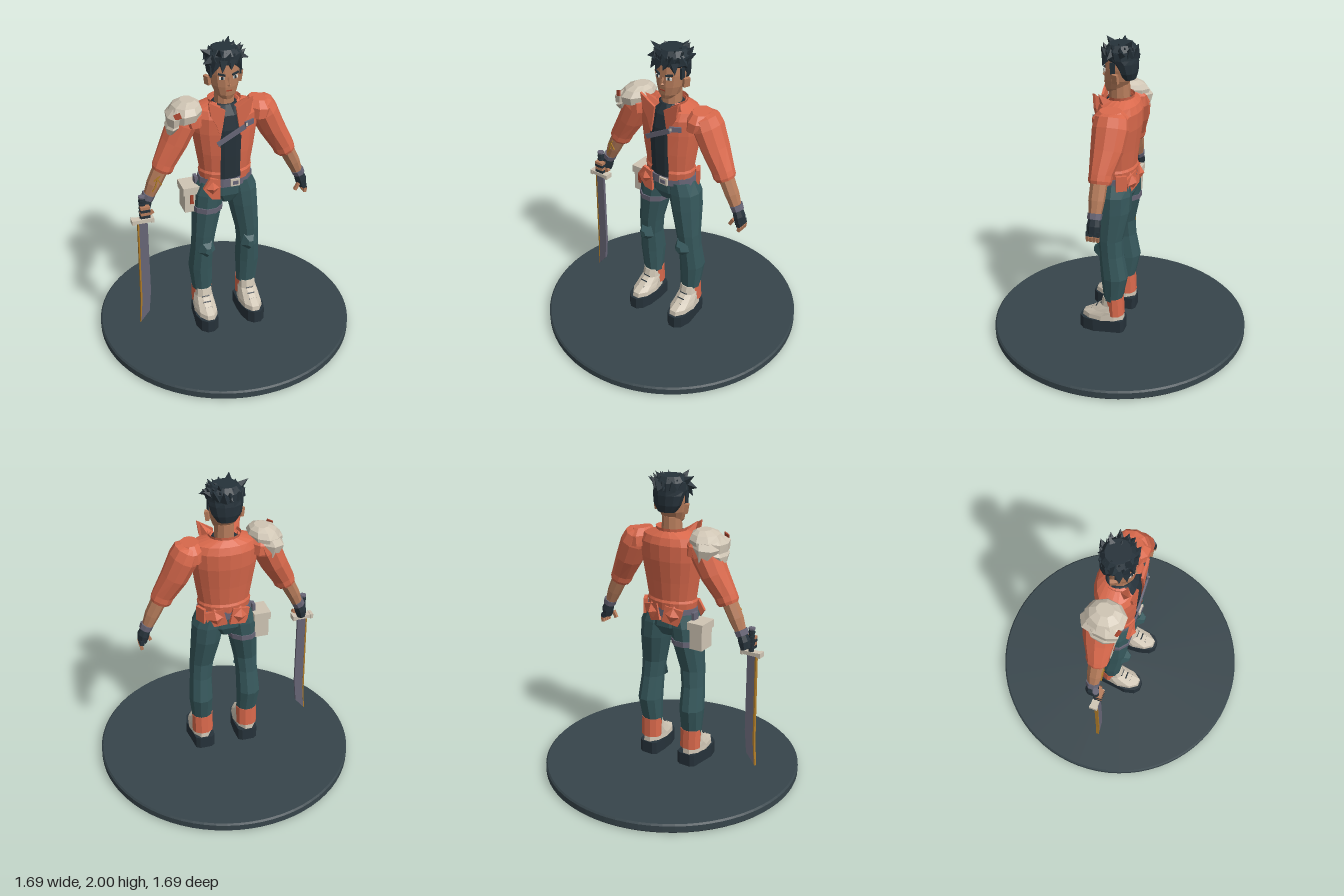
import * as THREE from 'three';

const mat = (name, color) => {
  const m = new THREE.MeshStandardMaterial({ color });
  m.name = name;
  return m;
};

export function createModel() {
  const root = new THREE.Group();
  root.name = 'swordsman';
  const orange = mat('orange cloth', 0xd9694c), teal = mat('teal trousers', 0x36585c);
  const dark = mat('dark', 0x26323a), slate = mat('slate base', 0x37454b);
  const skin = mat('skin', 0xb67c5b), bone = mat('bone', 0xcfc5b4);
  const steel = mat('steel', 0x686677), gold = mat('gold', 0xb07c28);
  const rust = mat('rust', 0xa8452f), white = mat('eye white', 0xece8e0);
  orange.side = THREE.DoubleSide; // open jacket and collar

  const add = (name, geo, m, x = 0, y = 0, z = 0, rx = 0, ry = 0, rz = 0) => {
    const g = geo.index ? geo.toNonIndexed() : geo;
    g.computeVertexNormals();
    const mesh = new THREE.Mesh(g, m);
    mesh.name = name;
    mesh.position.set(x, y, z);
    mesh.rotation.set(rx, ry, rz);
    root.add(mesh);
    return mesh;
  };
  const box = (name, m, w, h, d, ...place) => add(name, new THREE.BoxGeometry(w, h, d), m, ...place);
  const plate = (name, m, pts, depth, ...place) => add(name, new THREE.ExtrudeGeometry(
    new THREE.Shape(pts.map(p => new THREE.Vector2(...p))), { depth, bevelEnabled: false }), m, ...place);

  // Skin over rings [x, y, z, rx, rz, tilt, frontGap], listed bottom to top
  const loft = (name, m, rings, n = 10, s = 1) => {
    const pos = [], idx = [], open = rings[0][6] > 0;
    for (const [x, y, z, rx, rz, tilt = 0, gap = 0] of rings)
      for (let j = 0; j <= n; j++) {
        const a = Math.PI / 2 + (open ? gap : Math.PI / n) + j / n * (2 * Math.PI - 2 * gap);
        const u = rx * Math.cos(a);
        pos.push(s * x + u * Math.cos(tilt), y + u * Math.sin(s * tilt), z + rz * Math.sin(a));
      }
    const w = n + 1, last = (rings.length - 1) * w;
    for (let i = 0; i < rings.length - 1; i++)
      for (let j = 0; j < n; j++) {
        const a = i * w + j, c = a + w;
        idx.push(a, c, a + 1, a + 1, c, c + 1);
      }
    if (!open) for (let j = 1; j < n - 1; j++)
      idx.push(0, j, j + 1, last, last + j + 1, last + j);
    const g = new THREE.BufferGeometry();
    g.setAttribute('position', new THREE.Float32BufferAttribute(pos, 3));
    g.setIndex(idx);
    return add(name, g, m);
  };

  // Cone from one point to another
  const spike = (name, m, from, to, r, sides = 4) => {
    const a = new THREE.Vector3(...from), d = new THREE.Vector3(...to).sub(a), len = d.length();
    const g = new THREE.ConeGeometry(r, len, sides).translate(0, len / 2, 0);
    add(name, g, m, ...from).quaternion.setFromUnitVectors(new THREE.Vector3(0, 1, 0), d.normalize());
  };

  // Display disc
  add('base', new THREE.LatheGeometry([[0, 0], [0.835, 0], [0.845, 0.01], [0.845, 0.05], [0.835, 0.06], [0, 0.06]]
    .map(p => new THREE.Vector2(...p)), 72), slate);

  // Legs and boots
  for (const s of [1, -1]) {
    loft('leg', teal, [[0.155, 0.29, 0, 0.068, 0.062], [0.163, 0.46, -0.01, 0.08, 0.088], [0.157, 0.62, 0.012, 0.074, 0.08],
      [0.148, 0.73, 0.02, 0.08, 0.083], [0.122, 0.92, 0.005, 0.098, 0.11], [0.108, 1.03, 0.003, 0.105, 0.112],
      [0.09, 1.11, 0.005, 0.085, 0.105]], 10, s);
    const knee = add('kneePad', new THREE.CylinderGeometry(0.025, 0.068, 0.045, 5), teal, s * 0.145, 0.635, 0.105, Math.PI / 2);
    knee.scale.x = 0.9;
    plate('sole', dark, [[0.085, -0.06], [0.11, -0.078], [0.19, -0.078], [0.215, -0.06], [0.225, 0.03], [0.237, 0.12],
      [0.22, 0.19], [0.185, 0.222], [0.14, 0.222], [0.105, 0.19], [0.085, 0.12], [0.08, 0.03]].map(([x, z]) => [s * x, z]),
      0.085, 0, 0.145, 0, Math.PI / 2);
    loft('shoe', bone, [[0.157, 0.143, 0.068, 0.074, 0.145], [0.157, 0.175, 0.066, 0.072, 0.14], [0.157, 0.205, 0.04, 0.068, 0.108],
      [0.155, 0.245, 0.016, 0.062, 0.07], [0.155, 0.3, 0.015, 0.056, 0.055]], 10, s);
    loft('ankleWrap', orange, [[0.155, 0.18, -0.014, 0.071, 0.06], [0.155, 0.31, -0.008, 0.071, 0.06]], 10, s);
    for (let i = 0; i < 3; i++)
      box('lace', dark, 0.05, 0.008, 0.008, s * 0.156, 0.2 + i * 0.026, 0.142 - i * 0.032, -0.8);
  }
  loft('hips', teal, [[0, 0.96, 0, 0.07, 0.08], [0, 1.02, 0, 0.18, 0.108], [0, 1.12, 0.005, 0.17, 0.108]], 12);

  // Belt, buckle and tied cloth
  loft('belt', steel, [[0, 1.09, 0.007, 0.18, 0.12], [0, 1.145, 0.007, 0.176, 0.12]], 12);
  box('buckle', bone, 0.06, 0.048, 0.012, 0.03, 1.12, 0.128);
  box('buckleCentre', steel, 0.035, 0.024, 0.008, 0.03, 1.12, 0.134);
  plate('frontCloth', orange, [[-0.175, 1.1], [-0.13, 1.17], [-0.065, 1.15], [-0.065, 1.01], [-0.12, 1.02]], 0.02, 0, 0, 0.105);
  spike('frontKnot', orange, [-0.115, 1.1, 0.115], [-0.115, 1.1, 0.15], 0.06);
  for (const [x, z, turn] of [[-0.07, -0.1, 0.2], [0.08, -0.095, -0.25]]) {
    box('backCloth', orange, 0.12, 0.11, 0.02, x, 1.105, z, 0, turn, turn);
    spike('backKnot', orange, [x, 1.11, z], [x * 1.1, 1.11, z - 0.04], 0.065);
  }
  box('sideCloth', orange, 0.02, 0.1, 0.07, 0.165, 1.125, -0.055, 0, 0.5);

  // Shirt and open jacket
  loft('shirt', dark, [[0, 1.12, 0.01, 0.14, 0.108], [0, 1.3, 0.01, 0.16, 0.115], [0, 1.48, 0.005, 0.17, 0.122],
    [0, 1.57, 0, 0.14, 0.11], [0, 1.63, 0, 0.07, 0.075]], 14);
  loft('jacket', orange, [[0, 1.135, 0.01, 0.165, 0.12, 0, 0.4], [0, 1.185, 0.01, 0.172, 0.125, 0, 0.4], [0, 1.2, 0.01, 0.165, 0.117, 0, 0.4],
    [0, 1.32, 0.008, 0.185, 0.128, 0, 0.35], [0, 1.46, 0, 0.207, 0.139, 0, 0.33], [0, 1.56, -0.003, 0.212, 0.138, 0, 0.3],
    [0, 1.605, -0.005, 0.19, 0.118, 0, 0.4], [0, 1.64, -0.005, 0.085, 0.08, 0, 0.8]], 16);
  loft('collarBand', orange, [[0, 1.6, 0, 0.09, 0.085, 0, 0.9], [0, 1.655, -0.002, 0.105, 0.09, 0, 1.1]], 10);
  for (const s of [1, -1]) {
    plate('collarPoint', orange, [[0.035, 1.62], [0.14, 1.685], [0.125, 1.59], [0.09, 1.53], [0.065, 1.44], [0.05, 1.52]]
      .map(([x, y]) => [s * x, y]), 0.015, 0, 0, 0.115);
    spike('collarWing', orange, [s * 0.08, 1.6, 0.06], [s * 0.125, 1.68, 0.1], 0.045);
  }
  box('chestStrap', steel, 0.2, 0.03, 0.01, 0, 1.455, 0.142, 0, 0, 0.5);
  box('strapTab', steel, 0.075, 0.032, 0.012, 0.118, 1.515, 0.125, 0, 0.5);
  box('strapPin', bone, 0.012, 0.02, 0.008, 0.095, 1.515, 0.143);

  // Arms
  for (const s of [1, -1]) {
    loft('sleeve', orange, [[0.41, 1.225, 0.008, 0.062, 0.064, 0.4], [0.402, 1.242, 0.008, 0.07, 0.072, 0.4], [0.388, 1.275, 0.006, 0.071, 0.073, 0.4],
      [0.318, 1.4, -0.01, 0.083, 0.1, 0.42], [0.262, 1.52, -0.016, 0.09, 0.112, 0.45], [0.235, 1.58, -0.016, 0.08, 0.1, 0.4],
      [0.22, 1.605, -0.016, 0.05, 0.07, 0.2]], 10, s);
    loft('shoulderCap', orange, [[0.21, 1.515, -0.005, 0.07, 0.115, 0], [0.222, 1.575, -0.005, 0.086, 0.112, -0.1],
      [0.22, 1.618, -0.005, 0.055, 0.07, -0.1]], 10, s);
    loft('forearm', skin, [[0.51, 1.03, 0.012, 0.03, 0.034, 0.42], [0.462, 1.14, 0.012, 0.046, 0.05, 0.42], [0.415, 1.235, 0.01, 0.05, 0.052, 0.4]], 8, s);
    loft('wristband', steel, [[0.51, 1.04, 0.012, 0.04, 0.043, 0.42], [0.496, 1.073, 0.012, 0.042, 0.046, 0.42]], 8, s);
    loft('glove', dark, [[0.532, 0.955, 0.015, 0.03, 0.04, 0.3], [0.524, 1, 0.013, 0.038, 0.044, 0.4], [0.506, 1.045, 0.012, 0.032, 0.036, 0.42]], 8, s);
  }
  // Left fingers hang, right fingers grip
  for (let i = 0; i < 4; i++) {
    const z = -0.018 + i * 0.021;
    box('leftKnuckle', dark, 0.026, 0.03, 0.018, 0.54, 0.958, z, 0, 0, 0.15);
    box('leftFingertip', skin, 0.02, 0.034, 0.016, 0.545, 0.928, z, 0, 0, -0.2);
    box('rightFinger', i % 2 ? skin : dark, 0.06, 0.018, 0.035, -0.54, 0.955 + i * 0.02, 0.073);
  }
  box('leftThumb', skin, 0.02, 0.05, 0.02, 0.487, 0.958, 0.04, 0, 0, -0.5);
  box('rightThumb', skin, 0.05, 0.02, 0.02, -0.505, 0.96, 0.055, 0, 0, 0.5);
  // Forearm marking
  for (const [x, y, r, l] of [[-0.452, 1.195, -0.9, 0.05], [-0.437, 1.17, 0.5, 0.05], [-0.458, 1.165, -0.3, 0.06], [-0.47, 1.13, -0.6, 0.05]])
    box('armMark', gold, 0.007, l, 0.008, x, y, 0.06, 0, 0, r);

  // Layered right pauldron
  loft('pauldron', bone, [[-0.255, 1.56, 0.005, 0.1, 0.122, 0.15], [-0.252, 1.61, 0.008, 0.105, 0.13, 0.1],
    [-0.245, 1.645, 0.005, 0.085, 0.1, 0.05], [-0.235, 1.668, 0, 0.045, 0.055, 0]], 9);
  loft('pauldronBack', bone, [[-0.27, 1.49, -0.06, 0.05, 0.06, 0.2], [-0.28, 1.57, -0.05, 0.085, 0.09, 0.1], [-0.26, 1.63, -0.03, 0.06, 0.07]], 7);
  loft('upperScale', bone, [[-0.335, 1.545, 0.03, 0.035, 0.09, 0.3], [-0.33, 1.6, 0.03, 0.045, 0.1, 0.3], [-0.3, 1.63, 0.02, 0.03, 0.06]], 7);
  loft('lowerScale', bone, [[-0.35, 1.48, 0.02, 0.022, 0.05, 0.4], [-0.335, 1.53, 0.02, 0.046, 0.095, 0.4], [-0.32, 1.56, 0.02, 0.03, 0.06]], 7);
  box('pauldronPatch', rust, 0.04, 0.035, 0.008, -0.325, 1.615, 0.112, -0.3, -0.4, 0.3);

  // Hip pouch and thigh strap
  loft('thighStrap', steel, [[-0.122, 0.91, 0.005, 0.104, 0.116], [-0.12, 0.945, 0.005, 0.105, 0.117]], 10);
  box('pouch', bone, 0.09, 0.16, 0.12, -0.228, 0.985, -0.02);
  box('pouchLid', bone, 0.11, 0.05, 0.14, -0.228, 1.058, -0.02);
  box('pouchStripe', rust, 0.022, 0.07, 0.008, -0.228, 1.0, 0.043);
  box('pouchHanger', steel, 0.02, 0.06, 0.05, -0.185, 1.1, -0.02);

  // Sword
  plate('blade', steel, [[-0.583, 0.91], [-0.525, 0.91], [-0.525, 0.38], [-0.54, 0.22], [-0.605, 0.14], [-0.59, 0.3]], 0.018, 0, 0, 0.05);
  plate('bladeEdge', gold, [[-0.589, 0.9], [-0.58, 0.9], [-0.585, 0.32], [-0.6, 0.15], [-0.606, 0.14], [-0.595, 0.3]], 0.022, 0, 0, 0.048);
  box('guard', bone, 0.13, 0.025, 0.045, -0.555, 0.918, 0.055);
  for (const x of [-0.615, -0.495]) box('guardEnd', bone, 0.02, 0.032, 0.052, x, 0.918, 0.055);
  add('grip', new THREE.CylinderGeometry(0.018, 0.018, 0.15, 8), dark, -0.552, 1.005, 0.05);
  for (let i = 0; i < 6; i++)
    add('gripWrap', new THREE.CylinderGeometry(0.022, 0.022, 0.012, 8), i === 5 ? steel : dark, -0.552, 0.955 + i * 0.025, 0.05);

  // Head and face
  loft('neck', skin, [[0, 1.58, 0, 0.066, 0.068], [0, 1.72, 0, 0.06, 0.062]], 10);
  loft('head', skin, [[0, 1.668, 0.042, 0.034, 0.04], [0, 1.695, 0.025, 0.064, 0.066], [0, 1.75, 0.01, 0.085, 0.085],
    [0, 1.82, 0, 0.094, 0.092], [0, 1.9, -0.005, 0.09, 0.09]], 12);
  spike('nose', skin, [0, 1.808, 0.086], [0, 1.763, 0.108], 0.012);
  spike('noseBase', skin, [0, 1.762, 0.08], [0, 1.768, 0.112], 0.018);
  box('mouth', rust, 0.036, 0.007, 0.008, 0, 1.728, 0.09);
  for (const s of [1, -1]) {
    box('eye', white, 0.034, 0.016, 0.008, s * 0.042, 1.808, 0.083, 0, s * 0.4);
    box('iris', dark, 0.013, 0.016, 0.009, s * 0.04, 1.808, 0.085, 0, s * 0.4);
    box('eyebrow', dark, 0.046, 0.011, 0.009, s * 0.043, 1.83, 0.084, 0, s * 0.4, s * 0.18);
    box('ear', skin, 0.022, 0.058, 0.04, s * 0.105, 1.775, 0.0, 0, s * -0.4, s * -0.15);
    box('sideburn', dark, 0.012, 0.07, 0.03, s * 0.092, 1.835, 0.02);
  }

  // Hair cap with swept spikes
  loft('hairCap', dark, [[0, 1.755, -0.052, 0.062, 0.048], [0, 1.8, -0.05, 0.092, 0.062], [0, 1.86, -0.035, 0.106, 0.08],
    [0, 1.885, -0.012, 0.112, 0.1], [0, 1.935, -0.01, 0.11, 0.1], [0, 1.97, -0.01, 0.08, 0.075]], 12);
  for (let i = 0; i < 26; i++) {
    const a = i * 2.4, r = 0.02 + 0.075 * Math.sqrt(i / 26), c = Math.cos(a), q = Math.sin(a);
    spike('hairSpike', dark, [c * r, 1.93 - r * 0.3, q * r - 0.01],
      [c * (r + 0.035) + 0.012, 1.992 - r * 0.4 + 0.012 * Math.sin(i * 5), q * (r + 0.03) - 0.01], 0.034);
  }
  for (const [a, b] of [[[-0.08, 1.93, 0], [-0.152, 1.975, 0.01]], [[-0.09, 1.91, 0.03], [-0.148, 1.895, 0.05]],
    [[0.08, 1.92, 0.02], [0.143, 1.9, 0.04]], [[0.08, 1.91, -0.03], [0.14, 1.95, -0.05]], [[0.03, 1.94, -0.05], [0.06, 2, -0.09]],
    [[-0.04, 1.94, 0.05], [-0.06, 1.99, 0.1]], [[-0.07, 1.9, 0.06], [-0.1, 1.835, 0.08]], [[-0.03, 1.91, 0.075], [-0.045, 1.845, 0.105]],
    [[0.02, 1.91, 0.075], [0.01, 1.86, 0.105]], [[0.06, 1.9, 0.065], [0.085, 1.845, 0.085]], [[0, 1.93, -0.07], [-0.02, 1.9, -0.125]]])
    spike('hairLock', dark, a, b, 0.034);

  return root;
}
